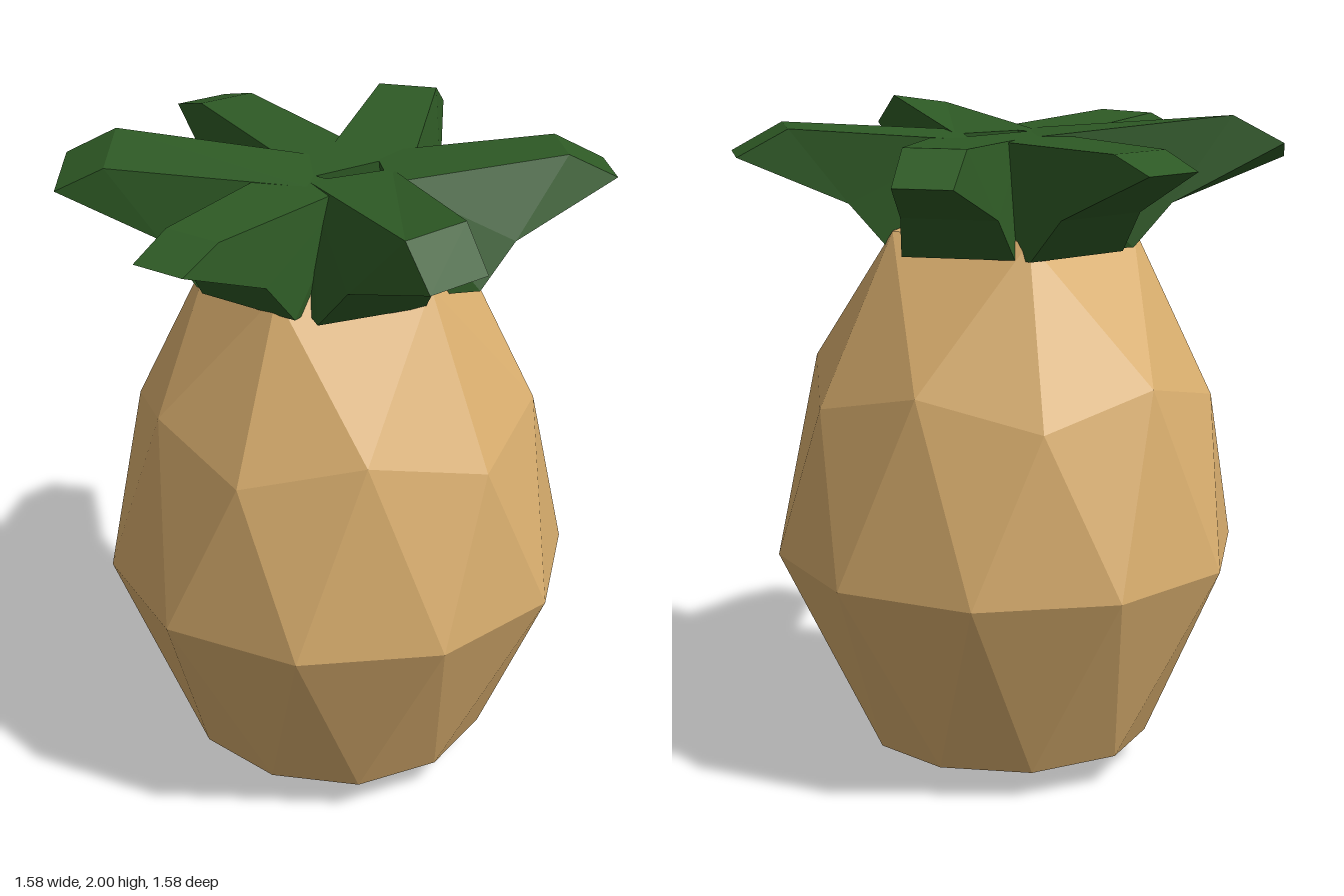
import * as THREE from 'three';

// Faceted geometry from a list of triangles (each three Vector3 corners)
function faceted(tris) {
  const geo = new THREE.BufferGeometry().setFromPoints(tris.flat());
  geo.computeVertexNormals();
  return geo;
}

// Fruit: rings of 5 or 10 points, staggered like a subdivided icosahedron
function fruitGeometry() {
  const cx = 0.015, cz = -0.035;
  const point = (r, y, deg) => {
    const a = THREE.MathUtils.degToRad(deg);
    return new THREE.Vector3(cx + r * Math.cos(a), y, cz + r * Math.sin(a));
  };
  const ring = (n, fn) => {
    const pts = Array.from({ length: n }, (_, i) => point(...fn(i)));
    return (i) => pts[i % n];
  };
  const top = point(0, 1.78, 0), bottom = point(0, 0.005, 0);
  const shoulder = ring(5, (i) => [0.375, 1.67, 72 * i]);
  const upper = ring(10, (i) => (i % 2 ? [0.585, 1.25, 36 * i] : [0.615, 1.165, 36 * i]));
  const middle = ring(10, (i) => [0.7, 0.675, 18 + 36 * i]);
  const lower = ring(10, (i) => (i % 2 ? [0.45, 0.1, 36 * i] : [0.43, 0.09, 36 * i]));
  const foot = ring(5, (i) => [0.265, 0.03, 36 + 72 * i]);

  const tris = [];
  const tri = (a, b, c) => tris.push([a, c, b]);
  for (let j = 0; j < 10; j++) {
    tri(upper(j), middle(j), upper(j + 1));
    tri(upper(j + 1), middle(j), middle(j + 1));
    tri(middle(j), lower(j), lower(j + 1));
    tri(middle(j), lower(j + 1), middle(j + 1));
  }
  for (let k = 0; k < 5; k++) {
    const m = 2 * k, n = m + 1;
    tri(top, shoulder(k), shoulder(k + 1));
    tri(shoulder(k), upper(m), upper(m + 1));
    tri(shoulder(k), upper(m + 1), shoulder(k + 1));
    tri(shoulder(k + 1), upper(m + 1), upper(m + 2));
    tri(lower(n), foot(k), lower(n + 1));
    tri(lower(n + 1), foot(k), foot(k + 1));
    tri(lower(n + 1), foot(k + 1), lower(n + 2));
    tri(foot(k), bottom, foot(k + 1));
  }
  return faceted(tris);
}

// Leaf: a bent side profile given width, running from the crown's middle to its tip
function leafGeometry({ inner, tip, tipY, topY, shift = 0, roll = 0 }) {
  const dir = new THREE.Vector2(tip[0] - inner[0], tip[1] - inner[1]);
  const len = dir.length();
  dir.normalize();
  // distance along leaf, height, half width, sideways shift
  const profile = [
    [len, tipY, 0.085, 0],
    [len - 0.15, topY, 0.09, 0],
    [-0.04, 1.93, 0.13, 0],
    [0, 1.6, 0.13, shift],
    [len - 0.43, 1.62, 0.165, shift],
    [len - 0.32, 1.75, 0.14, shift * 0.7],
  ];
  const side = (sign) => profile.map(([s, y, w, off], i) => {
    const q = off + sign * w;
    return new THREE.Vector3(
      inner[0] + dir.x * s - dir.y * q,
      y + (i < 2 ? sign * roll : 0),
      inner[1] + dir.y * s + dir.x * q);
  });
  const R = side(1), L = side(-1), tris = [];
  for (const [a, b, c] of [[0, 1, 5], [1, 2, 5], [2, 3, 4], [2, 4, 5]]) {
    tris.push([R[a], R[b], R[c]], [L[a], L[c], L[b]]);
  }
  for (let i = 0; i < 6; i++) {
    const j = (i + 1) % 6;
    tris.push([R[i], L[i], L[j]], [R[i], L[j], R[j]]);
  }
  return faceted(tris);
}

export function createModel() {
  const skin = new THREE.MeshStandardMaterial({ color: 0xd9ae6e });
  skin.name = 'tan skin';
  const green = new THREE.MeshStandardMaterial({ color: 0x2e5a25 });
  green.name = 'leaf green';

  const model = new THREE.Group();
  model.name = 'pineapple';
  const fruit = new THREE.Mesh(fruitGeometry(), skin);
  fruit.name = 'fruit';
  model.add(fruit);

  // Crown of six spreading leaves
  const crown = new THREE.Group();
  crown.name = 'crown';
  const leaves = {
    backRightLeaf: { inner: [0.0, -0.18], tip: [-0.365, -0.745], tipY: 1.88, topY: 1.97 },
    backLeftLeaf: { inner: [0.12, -0.16], tip: [0.485, -0.685], tipY: 1.89, topY: 1.97, shift: 0.06 },
    leftLeaf: { inner: [0.12, 0.0], tip: [0.76, 0.245], tipY: 1.87, topY: 1.97, shift: 0.06, roll: -0.015 },
    frontLeaf: { inner: [0.03, 0.1], tip: [0.155, 0.77], tipY: 1.88, topY: 1.935, shift: 0.03 },
    frontRightLeaf: { inner: [-0.04, 0.06], tip: [-0.6, 0.5], tipY: 1.89, topY: 1.97, roll: 0.03 },
    rightLeaf: { inner: [0.0, -0.06], tip: [-0.775, -0.2], tipY: 1.905, topY: 1.95 },
  };
  for (const [name, spec] of Object.entries(leaves)) {
    const leaf = new THREE.Mesh(leafGeometry(spec), green);
    leaf.name = name;
    crown.add(leaf);
  }
  model.add(crown);
  return model;
}
